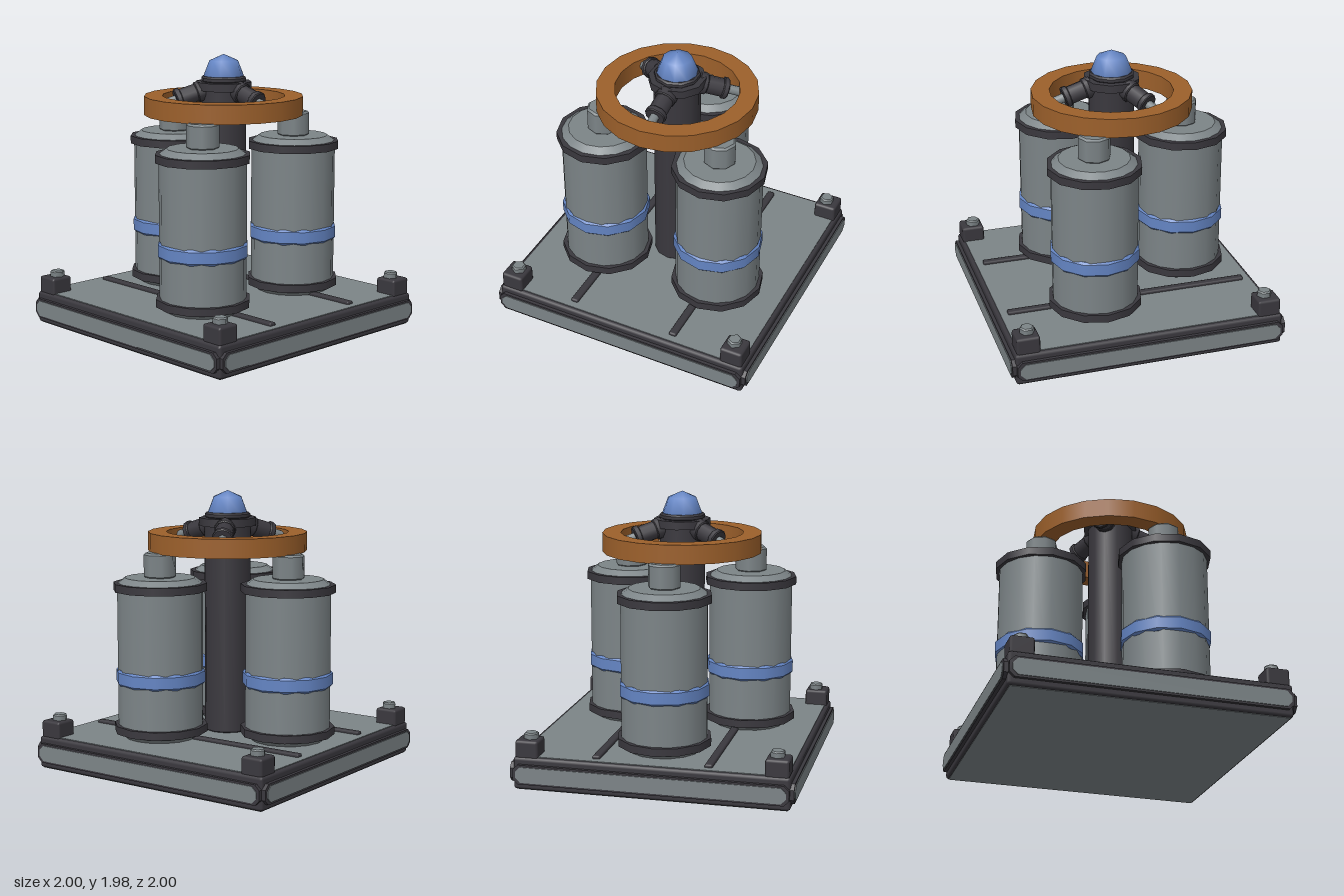
import * as THREE from 'three';
import { mergeGeometries } from 'three/addons/utils/BufferGeometryUtils.js';
import { RoundedBoxGeometry } from 'three/addons/geometries/RoundedBoxGeometry.js';

const paint = (name, color) => {
  const m = new THREE.MeshStandardMaterial({ color });
  m.name = name;
  return m;
};

export function createModel() {
  const steel = paint('steel grey', 0x7c8487);
  const iron = paint('dark iron', 0x3a383e);
  const blue = paint('band blue', 0x6485c4);
  const bronze = paint('bronze orange', 0x9c602b);

  const model = new THREE.Group();
  model.name = 'tankStation';

  const add = (parent, name, geometry, material, x = 0, y = 0, z = 0) => {
    const mesh = new THREE.Mesh(geometry, material);
    mesh.name = name;
    mesh.position.set(x, y, z);
    parent.add(mesh);
    return mesh;
  };
  const group = (parent, name) => {
    const g = new THREE.Group();
    g.name = name;
    parent.add(g);
    return g;
  };
  // Turned solid: smooth around the axis, sharp along the profile [radius, y]
  const turned = (profile, sides) => mergeGeometries(profile.slice(1).map((p, i) =>
    new THREE.LatheGeometry([new THREE.Vector2(...profile[i]), new THREE.Vector2(...p)], sides)));
  // Closed disc with optional chamfer c
  const disc = (r, y0, y1, sides, c = 0) => turned(c
    ? [[0, y0], [r - c, y0], [r, y0 + c], [r, y1 - c], [r - c, y1], [0, y1]]
    : [[0, y0], [r, y0], [r, y1], [0, y1]], sides);
  const bevelBox = (w, h, d, r) => new RoundedBoxGeometry(w, h, d, 1, r);

  // Base slab and plates
  const base = group(model, 'base');
  add(base, 'baseSlab', bevelBox(1.94, 0.232, 1.94, 0.022), iron, 0, 0.119, 0);
  add(base, 'deckPlate', new THREE.BoxGeometry(1.885, 0.01, 1.885), steel, 0, 0.235, 0);
  add(base, 'bottomPlate', new THREE.BoxGeometry(1.9, 0.008, 1.9), steel, 0, 0.004, 0);

  // Octagonal side panels with dark rims
  const octagon = (w, h, c, depth) => {
    const s = new THREE.Shape([
      [-w, -h + c], [-w + c, -h], [w - c, -h], [w, -h + c],
      [w, h - c], [w - c, h], [-w + c, h], [-w, h - c],
    ].map((p) => new THREE.Vector2(...p)));
    return new THREE.ExtrudeGeometry(s, { depth, bevelEnabled: false });
  };
  const rim = octagon(0.965, 0.07, 0.035, 0.04);
  const face = octagon(0.945, 0.056, 0.035, 0.007);
  for (let i = 0; i < 4; i++) {
    const side = group(base, 'sidePanel');
    side.rotation.y = i * Math.PI / 2;
    add(side, 'panelRim', rim, iron, 0, 0.118, 0.954);
    add(side, 'panelFace', face, steel, 0, 0.118, 0.993);
  }

  // Deck rails, corner blocks and bolts
  for (const sx of [-1, 1]) {
    add(base, 'deckRail', bevelBox(0.056, 0.04, 1.78, 0.012), iron, sx * 0.395, 0.241, 0);
    for (const sz of [-1, 1]) {
      const corner = group(base, 'cornerMount');
      corner.position.set(sx * 0.875, 0, sz * 0.875);
      add(corner, 'cornerBlock', bevelBox(0.166, 0.13, 0.166, 0.018), iron, 0, 0.285, 0);
      const bolt = add(corner, 'cornerBolt', disc(0.052, 0.34, 0.393, 6, 0.009), steel,
        -sx * 0.01, 0, -sz * 0.01);
      bolt.material = steel;
    }
  }

  // Three tanks around the column
  const bodyGeo = turned([[0, 0.23], [0.25, 0.23], [0.305, 0.275], [0.305, 1.345],
    [0.25, 1.386], [0, 1.386]], 16);
  const flangeGeo = disc(0.335, 0, 0.056, 12);
  const bandGeo = disc(0.32, 0.622, 0.735, 12, 0.016);
  const nozzleGeo = disc(0.115, 1.38, 1.56, 8, 0.014);
  for (const [x, z] of [[0, -0.525], [-0.453, 0.262], [0.453, 0.262]]) {
    const tank = group(model, 'tank');
    tank.position.set(x, 0, z);
    add(tank, 'tankBody', bodyGeo, steel);
    add(tank, 'lowerFlange', flangeGeo, iron, 0, 0.277, 0);
    add(tank, 'upperFlange', flangeGeo, iron, 0, 1.293, 0);
    add(tank, 'tankBand', bandGeo, blue);
    add(tank, 'tankNozzle', nozzleGeo, steel);
  }

  // Central column with collar and dome
  const column = group(model, 'column');
  add(column, 'columnShaft', disc(0.166, 0.235, 1.75, 12, 0.012), iron);
  add(column, 'columnCollar', disc(0.203, 1.732, 1.79, 10), iron);
  add(column, 'domeSeat', disc(0.163, 1.785, 1.83, 10, 0.012), iron);
  const dome = new THREE.SphereGeometry(0.146, 10, 2, 0, Math.PI * 2, 0, Math.PI / 2);
  dome.scale(1, 1.06, 1);
  add(column, 'dome', dome, blue, 0, 1.83, 0);

  // Spokes sloping down from the column to the wheel
  const spokeGeo = disc(0.066, 0.08, 0.335, 10);
  const spokeFlangeGeo = disc(0.077, 0.325, 0.368, 10, 0.007);
  const spokeHubGeo = disc(0.077, 0.15, 0.215, 10, 0.007);
  const rodGeo = disc(0.034, 0.3, 0.5, 8);
  for (let i = 0; i < 3; i++) {
    const turn = group(model, 'spoke');
    turn.rotation.y = i * Math.PI * 2 / 3;
    const arm = group(turn, 'spokeArm');
    arm.position.y = 1.778;
    arm.rotation.x = Math.PI / 2 + 0.31;
    add(arm, 'spokeTube', spokeGeo, iron);
    add(arm, 'spokeHub', spokeHubGeo, iron);
    add(arm, 'spokeFlange', spokeFlangeGeo, iron);
    add(arm, 'spokeRod', rodGeo, steel);
  }

  // Hand wheel ring
  add(model, 'wheelRing', turned([[0.44, 1.555], [0.572, 1.555], [0.572, 1.69],
    [0.44, 1.69], [0.44, 1.555]], 20), bronze);

  return model;
}
